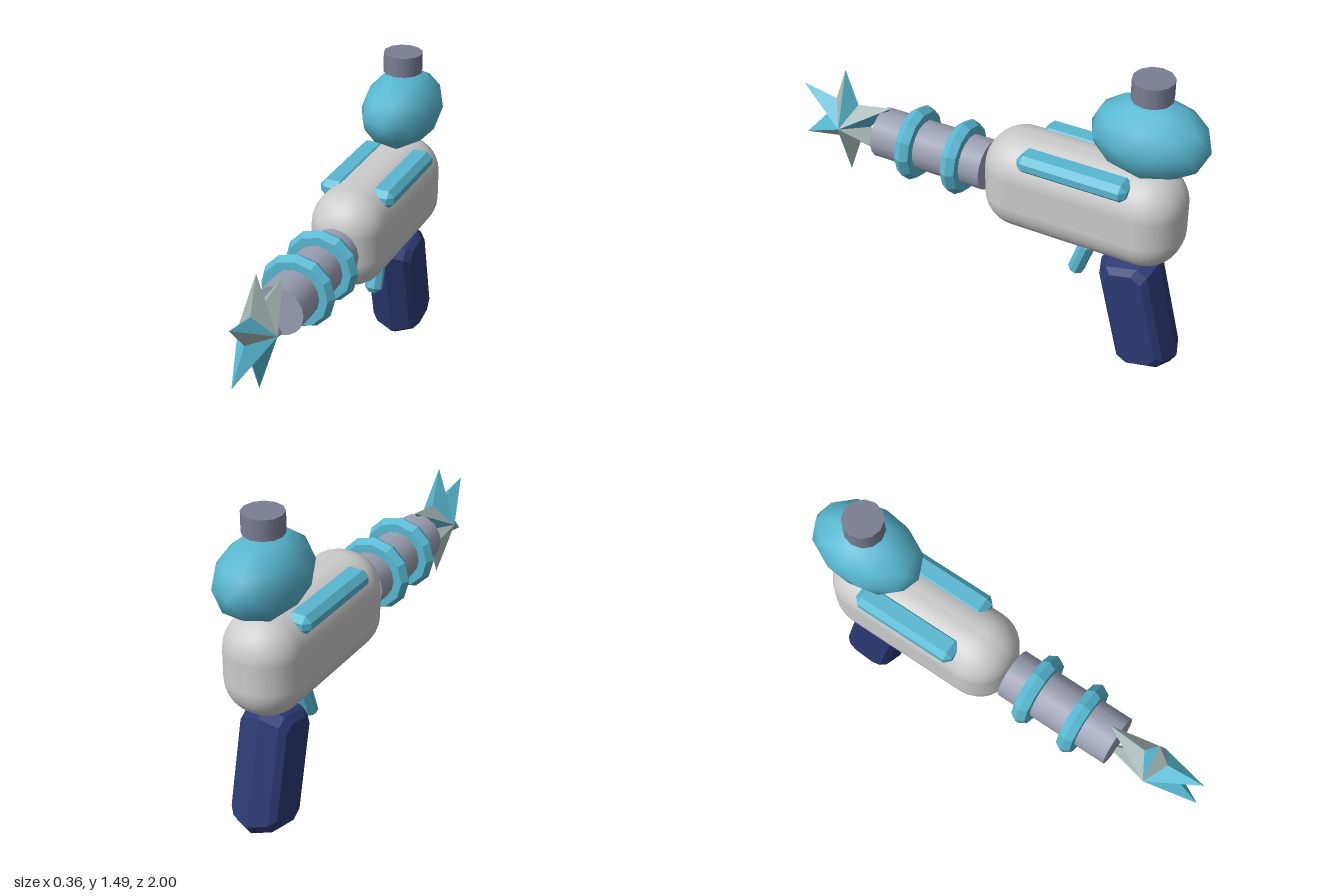
import * as THREE from 'three';
import { RoundedBoxGeometry } from 'three/addons/geometries/RoundedBoxGeometry.js';
import { ConvexGeometry } from 'three/addons/geometries/ConvexGeometry.js';

const mat = (color, flatShading = false) => new THREE.MeshStandardMaterial({ color, flatShading });
const shell = mat(0xcccccc);
const teal = mat(0x58b8d2);
const tealFlat = mat(0x58b8d2, true);
const paleFlat = mat(0xa6b8b6, true);
const steel = mat(0x9a9fb2);
const darkSteel = mat(0x7a7e92);
const navy = mat(0x2b3a74, true);

const AXIS_Y = 0.817; // height of the barrel axis

function add(parent, name, geometry, material, x = 0, y = 0, z = 0) {
  const mesh = new THREE.Mesh(geometry, material);
  mesh.name = name;
  mesh.position.set(x, y, z);
  parent.add(mesh);
  return mesh;
}

// Box with every edge cut by a chamfer c
function chamferBox(w, h, d, c) {
  const pts = [];
  for (const sx of [-1, 1]) for (const sy of [-1, 1]) for (const sz of [-1, 1]) {
    for (let full = 0; full < 3; full++) {
      const [x, y, z] = [w, h, d].map((s, i) => s / 2 - (i === full ? 0 : c));
      pts.push(new THREE.Vector3(sx * x, sy * y, sz * z));
    }
  }
  return new ConvexGeometry(pts);
}

// Octagonal side outline, inset step by step towards both sides
function gripGeometry(halfZ, halfY, corner) {
  const pts = [];
  for (const [x, inset] of [[-0.115, 0.05], [-0.087, 0.025], [0, 0], [0.087, 0.025], [0.115, 0.05]]) {
    const z = halfZ - inset, y = halfY - inset;
    for (const sy of [-1, 1]) for (const sz of [-1, 1]) {
      pts.push(new THREE.Vector3(x, sy * y, sz * (z - corner)));
      pts.push(new THREE.Vector3(x, sy * (y - corner), sz * z));
    }
  }
  return new ConvexGeometry(pts);
}

// One set of half-rays of the six-pointed star: side -1 or +1 of each ray
function starHalves(side, outer, inner, depth) {
  const pos = [];
  const at = (r, a) => [0, r * Math.sin(a), r * Math.cos(a)];
  for (let i = 0; i < 6; i++) {
    const a = Math.PI / 6 + i * Math.PI / 3;
    const tip = at(outer, a), notch = at(inner, a + side * Math.PI / 6);
    const [first, second] = side < 0 ? [notch, tip] : [tip, notch];
    pos.push(depth, 0, 0, ...second, ...first);
    pos.push(-depth, 0, 0, ...first, ...second);
  }
  const g = new THREE.BufferGeometry();
  g.setAttribute('position', new THREE.Float32BufferAttribute(pos, 3));
  g.computeVertexNormals();
  return g;
}

export function createModel() {
  const model = new THREE.Group();
  model.name = 'toyBlaster';

  // Main body
  add(model, 'body', new RoundedBoxGeometry(0.352, 0.46, 0.925, 4, 0.165), shell, 0, 0.82, -0.447);

  // Barrel and its rings
  const barrel = new THREE.CylinderGeometry(0.115, 0.115, 0.555, 16).rotateX(Math.PI / 2);
  add(model, 'barrel', barrel, steel, 0, AXIS_Y, 0.297);
  for (const z of [0.155, 0.39]) {
    add(model, 'barrelRing', new THREE.TorusGeometry(0.135, 0.04, 6, 12), tealFlat, 0, AXIS_Y, z);
  }

  // Faceted star at the muzzle, each ray half pale and half teal
  const star = new THREE.Group();
  star.name = 'muzzleStar';
  star.position.set(0, AXIS_Y + 0.003, 0.762);
  add(star, 'starPaleFacets', starHalves(-1, 0.272, 0.118, 0.09), paleFlat);
  add(star, 'starTealFacets', starHalves(1, 0.272, 0.118, 0.09), tealFlat);
  model.add(star);

  // Tank with a pole pointing up, stretched along the body
  const tank = new THREE.IcosahedronGeometry(1, 1)
    .rotateX(-Math.PI / 2 + Math.atan(2 / (1 + Math.sqrt(5))))
    .rotateY(-Math.PI / 2)
    .scale(0.18, 0.181, 0.268);
  add(model, 'tank', tank, teal, 0, 1.217, -0.731);
  add(model, 'tankCap', new THREE.CylinderGeometry(0.09, 0.09, 0.092, 12), darkSteel, 0, 1.447, -0.728);

  // Side rails on the shoulders of the body
  for (const s of [-1, 1]) {
    add(model, 'sideRail', chamferBox(0.12, 0.085, 0.51, 0.027), tealFlat, s * 0.12, 0.998, -0.447);
  }

  // Grip and trigger
  const grip = add(model, 'grip', gripGeometry(0.14, 0.287, 0.04), navy, 0, 0.304, -0.733);
  grip.rotation.x = THREE.MathUtils.degToRad(13.5);
  const trigger = add(model, 'trigger', chamferBox(0.08, 0.205, 0.07, 0.023), tealFlat, 0, 0.483, -0.444);
  trigger.rotation.x = THREE.MathUtils.degToRad(-19);

  return model;
}
